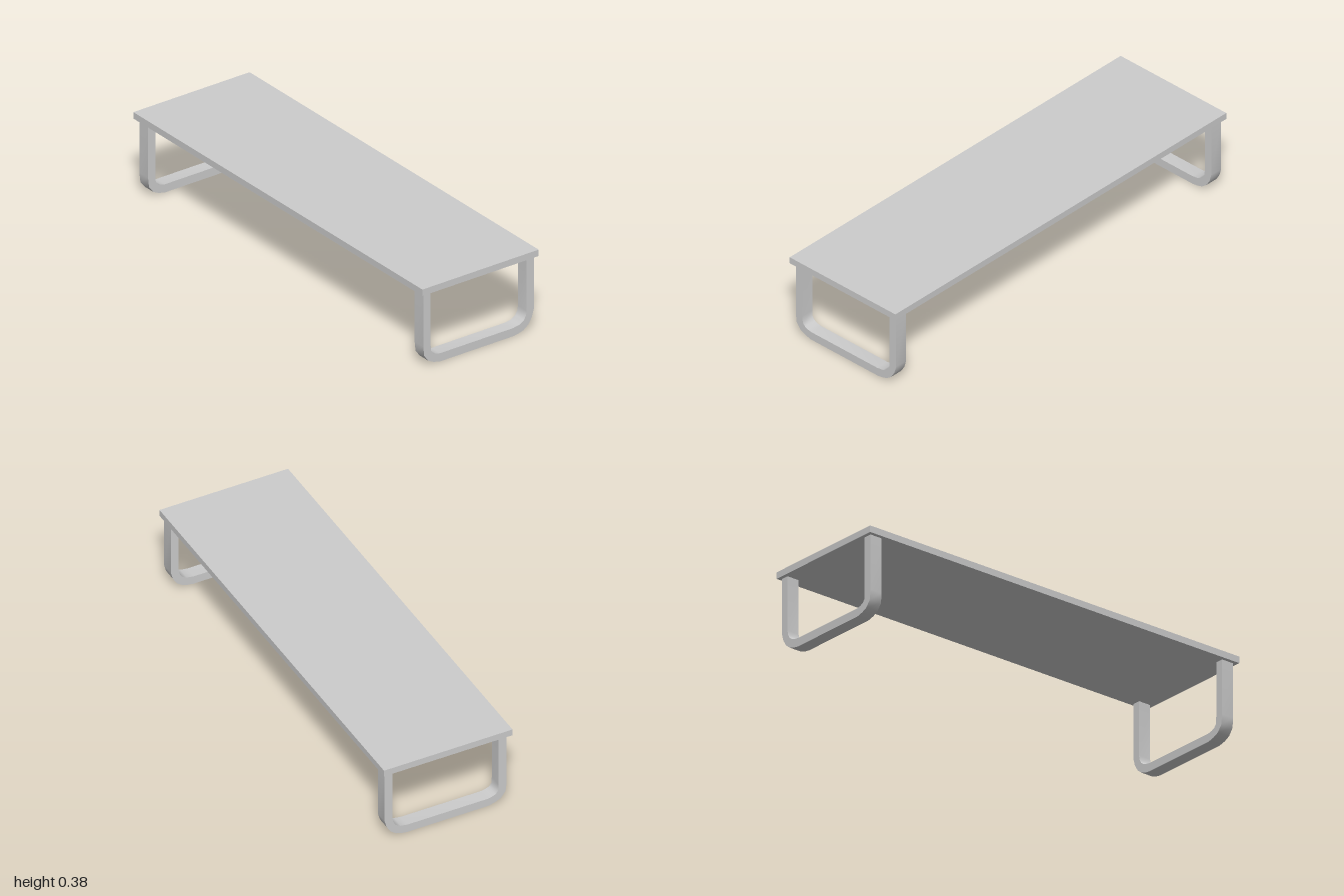
import * as THREE from 'three';
import { toCreasedNormals } from 'three/addons/utils/BufferGeometryUtils.js';

const LEG_WIDTH = 0.06;
const LEG_X = 0.952;
const UNDERSIDE = 0.345;

// Side profile of the U-shaped leg as [z, y]; the rear bend is wider than the front one
const outer = [
  [0.283, UNDERSIDE], [0.283, 0.095], [0.278, 0.05], [0.256, 0.021], [0.229, 0.008], [0.197, 0],
  [-0.185, 0], [-0.21, 0.004], [-0.236, 0.012], [-0.261, 0.031], [-0.279, 0.06], [-0.289, 0.095], [-0.289, UNDERSIDE],
];
const inner = [
  [-0.252, UNDERSIDE], [-0.252, 0.097], [-0.249, 0.076], [-0.238, 0.058], [-0.231, 0.052], [-0.213, 0.043], [-0.181, 0.038],
  [0.195, 0.038], [0.215, 0.042], [0.231, 0.049], [0.243, 0.063], [0.245, 0.095], [0.245, UNDERSIDE],
];

function legGeometry() {
  const shape = new THREE.Shape([...outer, ...inner].map(([z, y]) => new THREE.Vector2(z, y)));
  const geometry = new THREE.ExtrudeGeometry(shape, { depth: LEG_WIDTH, bevelEnabled: false });
  // Turn the profile into the side plane, centred on its width
  geometry.translate(0, 0, -LEG_WIDTH / 2).rotateY(-Math.PI / 2);
  return toCreasedNormals(geometry, 0.75);
}

export function createModel() {
  const model = new THREE.Group();
  model.name = 'bench';
  const material = new THREE.MeshStandardMaterial({ color: 0xcccccc });

  // Flat board
  const top = new THREE.Mesh(new THREE.BoxGeometry(2, 0.03, 0.602), material);
  top.name = 'top';
  top.position.y = UNDERSIDE + 0.015;
  model.add(top);

  // One bent leg frame at each end
  const geometry = legGeometry();
  for (const [name, side] of [['leftLeg', 1], ['rightLeg', -1]]) {
    const leg = new THREE.Mesh(geometry, material);
    leg.name = name;
    leg.position.x = side * LEG_X;
    model.add(leg);
  }
  return model;
}
